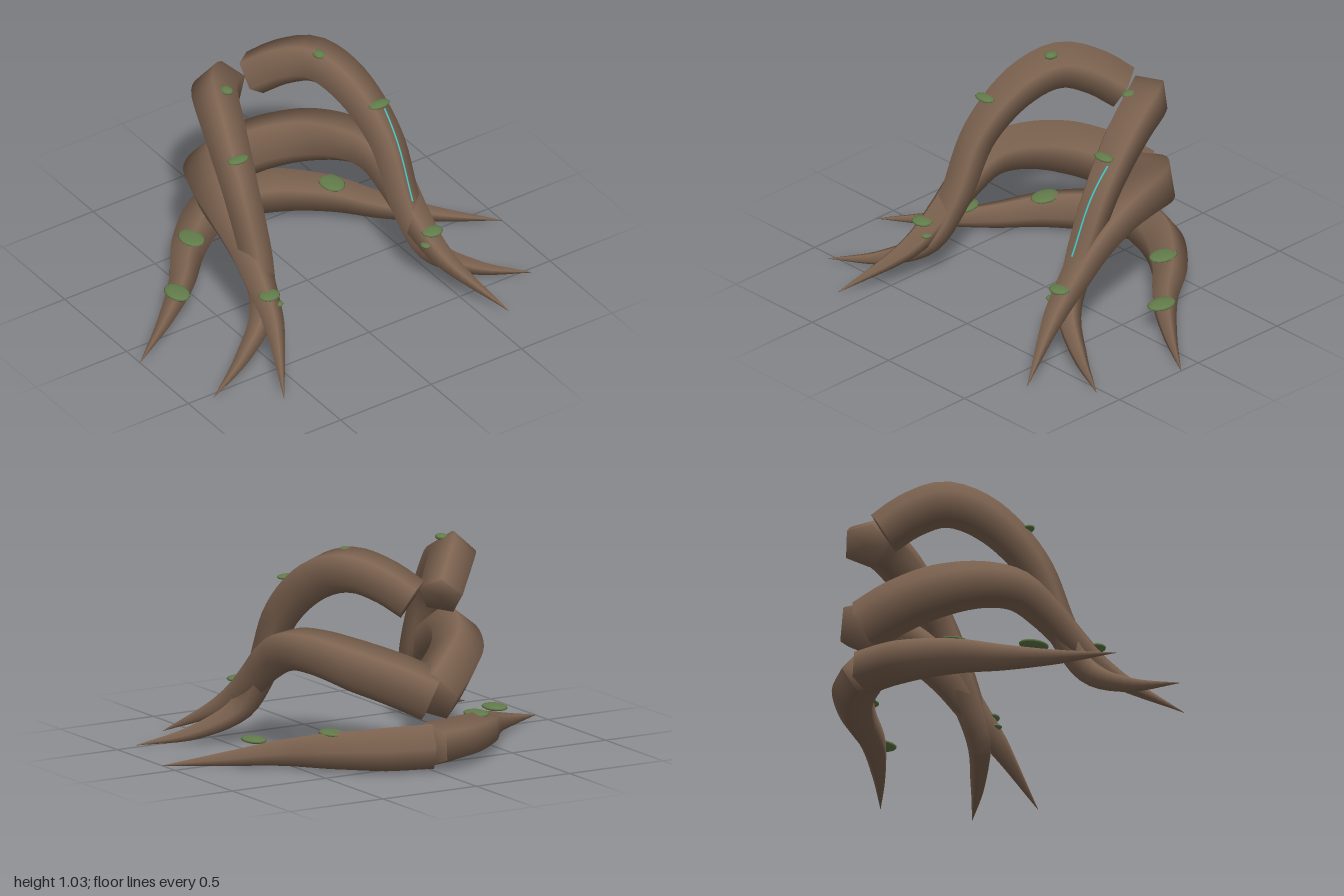
import * as THREE from 'three';

const bark = new THREE.MeshStandardMaterial({ color: 0x7e6451 });
bark.name = 'bark brown';
const moss = new THREE.MeshStandardMaterial({ color: 0x627c4a });
moss.name = 'moss green';
const sap = new THREE.MeshStandardMaterial({ color: 0x4accc8 });
sap.name = 'sap teal';

const SIDES = 5, STEPS = 40;

// Each station: x, y, z of the centre line, then the radius
const ROOTS = {
  upperRoot: [
    [0.078, 0.797, -0.562, 0.107], [0.17, 0.875, -0.472, 0.11], [0.27, 0.92, -0.35, 0.112],
    [0.34, 0.866, -0.177, 0.105], [0.395, 0.67, 0.037, 0.088], [0.41, 0.367, 0.193, 0.077],
    [0.46, 0.173, 0.303, 0.061], [0.64, 0.06, 0.41, 0.037], [0.88, 0.002, 0.53, 0.001],
  ],
  middleRoot: [
    [0, 0.347, -0.614, 0.13], [0.13, 0.415, -0.525, 0.131], [0.27, 0.475, -0.39, 0.128],
    [0.37, 0.517, -0.2, 0.113], [0.415, 0.508, -0.04, 0.102], [0.425, 0.424, 0.11, 0.089],
    [0.435, 0.312, 0.24, 0.076], [0.47, 0.181, 0.41, 0.053], [0.62, 0.002, 0.72, 0.001],
  ],
  lowerRoot: [
    [0, 0.118, -0.612, 0.109], [0.2, 0.113, -0.54, 0.106], [0.4, 0.1, -0.39, 0.088],
    [0.56, 0.074, -0.21, 0.063], [0.76, 0.037, -0.05, 0.035], [1, 0.002, 0.11, 0.001],
  ],
};

// Tapered five-sided tube through the stations, closed at its thick end
function makeRoot(name, stations, side) {
  const curve = new THREE.CatmullRomCurve3(
    stations.map(([x, y, z]) => new THREE.Vector3(x * side, y, z)));
  const geo = new THREE.TubeGeometry(curve, STEPS, 1, SIDES);
  const { position, normal } = geo.attributes;

  // Roll that brings the first corner of the cut end towards +x on both sides
  const axis = geo.tangents[0];
  const first = geo.normals[0].clone().negate();
  const target = new THREE.Vector3(1, 0, 0).projectOnPlane(axis).normalize();
  const roll = Math.atan2(first.clone().cross(target).dot(axis), first.dot(target));

  const v = new THREE.Vector3();
  for (let i = 0; i <= STEPS; i++) {
    const u = i / STEPS;
    const f = curve.getUtoTmapping(u) * (stations.length - 1);
    const k = Math.min(Math.floor(f), stations.length - 2);
    const r = THREE.MathUtils.lerp(stations[k][3], stations[k + 1][3], f - k);
    const c = curve.getPointAt(u);
    for (let j = 0; j <= SIDES; j++) {
      const n = i * (SIDES + 1) + j;
      v.fromBufferAttribute(normal, n).applyAxisAngle(geo.tangents[i], roll);
      normal.setXYZ(n, v.x, v.y, v.z);
      v.multiplyScalar(r).add(c);
      position.setXYZ(n, v.x, v.y, v.z);
    }
  }

  // Cut end, shaded smoothly into the sides
  const points = [], normals = [];
  const back = axis.clone().negate();
  for (let j = 0; j < SIDES; j++) {
    points.push(curve.getPointAt(0));
    normals.push(...back.toArray());
    for (const n of [j, j + 1]) {
      points.push(new THREE.Vector3().fromBufferAttribute(position, n));
      normals.push(...v.fromBufferAttribute(normal, n).add(back).normalize().toArray());
    }
  }
  const cutGeo = new THREE.BufferGeometry().setFromPoints(points);
  cutGeo.setAttribute('normal', new THREE.Float32BufferAttribute(normals, 3));

  const root = new THREE.Group();
  root.name = name;
  const body = new THREE.Mesh(geo, bark);
  body.name = name + 'Body';
  const cut = new THREE.Mesh(cutGeo, bark);
  cut.name = name + 'CutEnd';
  root.add(body, cut);
  return root;
}

// Flattened moss pads: centre, then half sizes
const PADS = [
  [0.645, 0.125, -0.11, 0.053, 0.015, 0.075],
  [0.388, 0.176, -0.37, 0.055, 0.013, 0.075],
  [0.39, 0.835, 0.01, 0.055, 0.013, 0.033],
  [0.45, 0.3, 0.35, 0.052, 0.014, 0.045],
  [0.41, 0.245, 0.36, 0.025, 0.01, 0.028],
  [0.255, 1.0, -0.28, 0.028, 0.015, 0.035],
];

// Thin vein laid on the front of a root by dropping points onto its surface
function makeVein(root) {
  const ray = new THREE.Raycaster();
  const path = [];
  for (let i = 0; i <= 16; i++) {
    ray.set(new THREE.Vector3(0.418, 0.8 - i * 0.024, 2), new THREE.Vector3(0, 0, -1));
    const hit = ray.intersectObject(root)[0];
    if (hit) path.push(hit.point);
  }
  const vein = new THREE.Mesh(
    new THREE.TubeGeometry(new THREE.CatmullRomCurve3(path), 32, 0.005, 5), sap);
  vein.name = 'sapVein';
  return vein;
}

export function createModel() {
  const model = new THREE.Group();
  model.name = 'rootCluster';
  const padGeo = new THREE.SphereGeometry(1, 14, 8);

  for (const side of [1, -1]) {
    const label = side > 0 ? 'left' : 'right';
    for (const [name, stations] of Object.entries(ROOTS)) {
      model.add(makeRoot(label + name[0].toUpperCase() + name.slice(1), stations, side));
    }
    for (const [x, y, z, a, b, c] of PADS) {
      const pad = new THREE.Mesh(padGeo, moss);
      pad.name = label + 'MossPad';
      pad.position.set(x * side, y, z);
      pad.scale.set(a, b, c);
      model.add(pad);
    }
  }
  model.add(makeVein(model.getObjectByName('leftUpperRoot')));
  return model;
}
